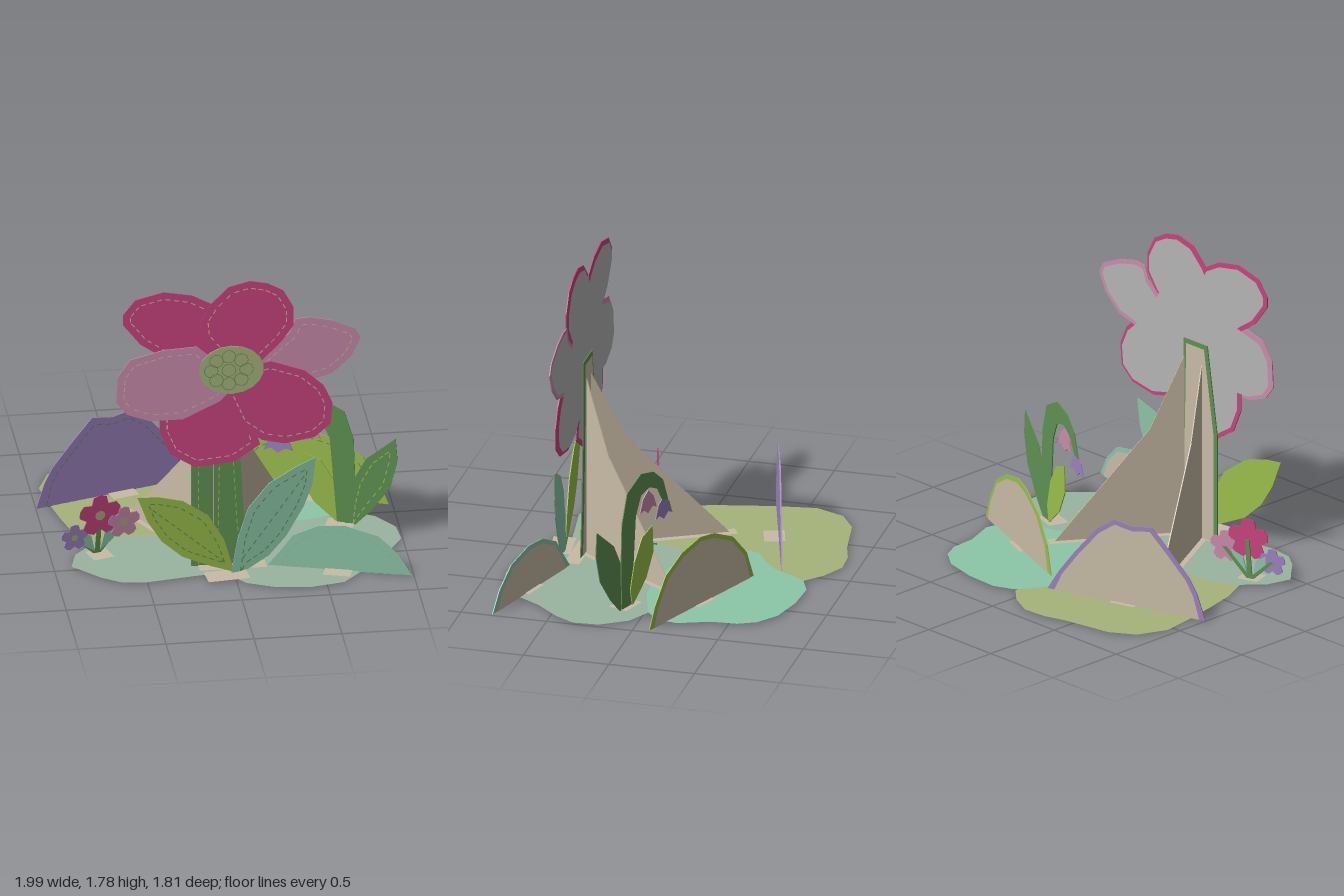
import * as THREE from 'three';
import { mergeGeometries } from 'three/addons/utils/BufferGeometryUtils.js';

const paint = (name, color) => {
  const m = new THREE.MeshStandardMaterial({ color, side: THREE.DoubleSide });
  m.name = name;
  return m;
};
const C = {
  magenta: paint('magenta', 0xc9447f), pink: paint('dustyPink', 0xca8cab),
  olive: paint('olive', 0xa6b47c), green: paint('stemGreen', 0x5f9152),
  lime: paint('lime', 0x9bbf4c), mint: paint('mint', 0x8cc6a8),
  sage: paint('sage', 0x9ab4a0), tan: paint('cardTan', 0xc9bca6),
  purple: paint('purple', 0x9c82be), grey: paint('cardGrey', 0xb4b4b4),
};

// Outlines are written in hundredths: x, y, x, y ...
const pts = (a) => {
  const p = [];
  for (let i = 0; i < a.length; i += 2) p.push(new THREE.Vector2(a[i] / 100, a[i + 1] / 100));
  return THREE.ShapeUtils.isClockWise(p) ? p.reverse() : p;
};

// Shrink an outline; points resting on the ground stay there
const inset = (p, d) => p.map((b, i) => {
  const a = p[(i + p.length - 1) % p.length], c = p[(i + 1) % p.length];
  const n1 = new THREE.Vector2(a.y - b.y, b.x - a.x).normalize();
  const n2 = new THREE.Vector2(b.y - c.y, c.x - b.x).normalize();
  const n = n1.clone().add(n2).normalize();
  const q = b.clone().addScaledVector(n, d / Math.max(0.5, n.dot(n1)));
  if (b.y < 0.01) q.y = b.y;
  return q;
});

const add = (group, name, geo, mat, z = 0) => {
  const m = new THREE.Mesh(geo, mat);
  m.name = name;
  m.position.z = z;
  group.add(m);
  return m;
};

// Dashed stitches following a path
const stitches = (path, closed = true) => {
  const q = closed ? [...path, path[0]] : path;
  const dashes = [];
  for (let i = 0; i + 1 < q.length; i++) {
    const len = q[i].distanceTo(q[i + 1]), n = Math.max(1, Math.round(len / 0.05));
    const angle = Math.atan2(q[i + 1].y - q[i].y, q[i + 1].x - q[i].x);
    for (let k = 0; k < n; k++) {
      const c = q[i].clone().lerp(q[i + 1], (k + 0.5) / n);
      dashes.push(new THREE.PlaneGeometry(0.028, 0.006).rotateZ(angle).translate(c.x, c.y, 0));
    }
  }
  return mergeGeometries(dashes);
};

const T = 0.006;
// One cut-out: coloured front, optional smaller card behind, optional stitches
const sheet = (group, name, outline, mat, { card, thread, z = 0, cardZ = z - 0.004 } = {}) => {
  const p = pts(outline);
  add(group, name, new THREE.ExtrudeGeometry(new THREE.Shape(p), { depth: T, bevelEnabled: false }), mat, z);
  if (card) add(group, name + 'Back', new THREE.ShapeGeometry(new THREE.Shape(inset(p, 0.025))), card, cardZ);
  if (thread) add(group, name + 'Stitches', stitches(inset(p, 0.042)), thread, z + T + 0.0012);
};

// Upright group on the ground line from (x0,z0) to (x1,z1); its local x equals world x
const stand = (root, name, x0, z0, x1, z1) => {
  const g = new THREE.Group(), m = (z1 - z0) / (x1 - x0);
  g.name = name;
  g.position.z = z0 - m * x0;
  g.rotation.y = -Math.atan(m);
  g.scale.x = Math.hypot(1, m);
  root.add(g);
  return g;
};

const tab = (group, x, z, w, d) => {
  const m = add(group, 'footTab', new THREE.PlaneGeometry(w, d).rotateX(-Math.PI / 2), C.tan);
  m.position.set(x, 0.007, z);
};

const leafVein = (g, x0, y0, x1, y1, mat) =>
  add(g, 'leafVein', stitches([new THREE.Vector2(x0, y0), new THREE.Vector2(x1, y1)], false), mat, T + 0.0012);

// Small blossom with five notched petals
const blossom = (g, name, x, y, r, mat, z) => {
  const p = [];
  for (let i = 0; i < 20; i++) {
    const a = (i / 20) * Math.PI * 2 + 0.3, k = [1, 0.96, 0.66, 0.96][i % 4] * r;
    p.push(100 * (x + k * Math.cos(a)), 100 * (y + k * Math.sin(a)));
  }
  sheet(g, name, p, mat, { z });
  add(g, name + 'Centre', new THREE.CircleGeometry(r * 0.24, 10).translate(x, y, 0), C.olive, z + T + 0.001);
};

export function createModel() {
  const root = new THREE.Group();
  root.name = 'paperGarden';

  // Flat ground patches, outlines as x, z
  const grounds = [
    ['oliveGround', C.olive, [-95, -55, -88, -72, -74, -81, -45, -86, -32, -90, -17, -91, -3, -84, 7, -75, 12, -50, 8, -25, 0, 5, -20, 18, -42, 25, -75, 22, -83, 5, -88, -15, -92, -35]],
    ['sageGround', C.sage, [-21, 12, -17, 2, -5, -8, 30, -10, 75, -2, 88, 5, 98, 20, 99, 35, 92, 47, 80, 60, 72, 73, 60, 86, 40, 90, 20, 87, 5, 80, -5, 66, -6, 50, -10, 36, -20, 22]],
    ['leftSageGround', C.sage, [-90, 47, -86, 32, -75, 20, -60, 13, -45, 12, -25, 17, -13, 30, -10, 45, -3, 65, -25, 68, -50, 72, -65, 70, -75, 63, -85, 52]],
    ['mintGround', C.mint, [2, -66, 8, -75, 20, -80, 40, -79, 60, -74, 72, -65, 77, -55, 78, -40, 85, -22, 83, -10, 74, -2, 50, 5, 30, 7, 10, 3, -10, -5, -22, -17, -27, -28, -24, -40, -12, -48, -4, -55]],
  ];
  grounds.forEach(([name, mat, o], i) => {
    const flipped = o.map((v, k) => (k % 2 ? -v : v));
    const geo = new THREE.ShapeGeometry(new THREE.Shape(pts(flipped))).rotateX(-Math.PI / 2);
    add(root, name, geo, mat).position.y = 0.001 + i * 0.0013;
  });

  // Hills
  const purple = stand(root, 'purpleHill', -0.97, -0.31, -0.05, -0.59);
  sheet(purple, 'hill', [-100, 0, -95, 15, -90, 24, -78, 38, -67, 50, -55, 48, -44, 50, -33, 42, -20, 26, -10, 12, -3, 0], C.purple, { card: C.tan, thread: C.green });
  tab(purple, -0.5, 0.03, 0.15, 0.12);
  const lime = stand(root, 'limeHill', 0.08, -0.46, 0.97, -0.1);
  sheet(lime, 'hill', [8, 0, 14, 17, 26, 31, 42, 39, 54, 41, 70, 37, 84, 28, 93, 13, 98, 0], C.lime, { card: C.tan, thread: C.green });
  tab(lime, 0.52, 0.03, 0.15, 0.12);
  const mint = stand(root, 'mintHill', 0.2, 0.58, 0.97, 0.81);
  sheet(mint, 'hill', [20, 0, 28, 11, 34, 20, 48, 27, 62, 28, 80, 23, 92, 12, 99, 0], C.mint, { card: C.tan, thread: C.sage });
  tab(mint, 0.59, 0.03, 0.15, 0.12);

  // Struts that prop the big flower from behind
  for (const [x0, z0, x1, z1] of [[-0.1, 0.55, -0.5, -0.2], [0.02, 0.53, 0.45, -0.12]]) {
    const g = stand(root, 'strut', x0, z0, x1, z1), o = [];
    for (const [t, y] of [[0, 0], [0, 108], [0.25, 65], [0.5, 42], [0.95, 1], [1, 0]]) o.push(100 * (x0 + t * (x1 - x0)), y);
    sheet(g, 'strutPanel', o, C.tan);
    tab(g, (x0 + x1) / 2, 0, Math.abs(x1 - x0), 0.075);
  }

  // Big flower
  const flower = new THREE.Group();
  flower.name = 'bigFlower';
  flower.position.z = 0.55;
  root.add(flower);
  sheet(flower, 'stem', [-23, 0, -23, 66, -15, 118, 4, 118, 5, 66, 7, 30, 10, 0], C.green, { card: C.tan, thread: C.lime, z: -0.006 });
  leafVein(flower, -0.08, 0.05, -0.07, 0.68, C.lime).position.z = 0.002;
  const petals = [
    ['rightPetal', C.pink, [0, 123, 17, 130, 33, 144, 36, 152, 44, 153, 57, 150, 70, 144, 73, 138, 68, 127, 57, 117, 39, 112, 28, 115]],
    ['lowerLeftPetal', C.magenta, [-7, 118, -38, 101, -41, 97, -41, 86, -35, 72, -21, 63, 1, 65, 16, 75, 10, 95, 2, 112]],
    ['upperLeftPetal', C.magenta, [-20, 120, -52, 142, -62, 155, -62, 161, -55, 170, -39, 174, -23, 171, -12, 165, -2, 150, 0, 123]],
    ['upperRightPetal', C.magenta, [-1, 123, -17, 144, -18, 155, -12, 165, -2, 175, 10, 178, 20, 176, 29, 171, 35, 160, 35, 149, 28, 139, 17, 128]],
    ['lowerRightPetal', C.magenta, [1, 123, 22, 127, 41, 120, 52, 110, 57, 99, 56, 86, 47, 78, 30, 75, 17, 78, 4, 88, -4, 107]],
    ['leftPetal', C.pink, [-2, 123, -20, 139, -39, 138, -58, 133, -65, 123, -66, 107, -60, 99, -47, 94, -28, 94, -7, 104, 1, 112]],
  ];
  petals.forEach(([name, mat, o], i) =>
    sheet(flower, name, o, mat, { card: C.grey, thread: C.tan, z: 0.003 + i * 0.0025, cardZ: 0.0015 }));
  add(flower, 'flowerBackCentre', new THREE.CircleGeometry(0.3, 20).translate(0, 1.22, 0), C.grey, 0.0015);

  // Flower centre with a ring of seeds
  const centre = add(flower, 'flowerCentre', new THREE.CylinderGeometry(1, 1, 0.006, 18).rotateX(Math.PI / 2), C.olive, 0.026);
  centre.position.set(-0.005, 1.235, 0.025);
  centre.scale.set(0.185, 0.15, 1);
  for (let i = 0; i < 9; i++) {
    const a = (i / 8) * Math.PI * 2, k = i < 8 ? 1 : 0;
    const ring = new THREE.RingGeometry(0.037, 0.041, 14);
    add(flower, 'seed', ring.translate(-0.02 + k * 0.1 * Math.cos(a), 1.235 + k * 0.085 * Math.sin(a), 0), C.green, 0.0295);
  }
  tab(flower, 0, 0.025, 0.38, 0.09);

  // Two large leaves at the front
  const limeLeaf = stand(root, 'limeLeaf', -0.54, 0.72, 0, 0.66);
  sheet(limeLeaf, 'leaf', [-56, 54, -44, 53, -30, 49, -15, 38, -6, 22, 0, 1, -13, 6, -30, 14, -42, 25, -50, 38], C.lime, { thread: C.green });
  leafVein(limeLeaf, -0.05, 0.07, -0.48, 0.46, C.green);
  tab(limeLeaf, -0.05, 0.03, 0.24, 0.13);
  const mintLeaf = stand(root, 'mintLeaf', 0, 0.66, 0.46, 0.6);
  sheet(mintLeaf, 'leaf', [-2, 0, 2, 22, 8, 40, 20, 54, 35, 62, 47, 67, 45, 50, 40, 37, 30, 20, 20, 9, 8, 2], C.mint, { thread: C.green });
  leafVein(mintLeaf, 0.04, 0.08, 0.41, 0.57, C.green);

  // Drooping bell plant
  const bells = stand(root, 'bellPlant', 0.26, -0.04, 0.97, 0.2);
  sheet(bells, 'archedStem', [66, 0, 64, 27, 62, 53, 57, 64, 49, 66, 41, 62, 36, 53, 31, 52, 36, 66, 45, 74, 57, 77, 70, 70, 75, 53, 76, 24, 75, 0], C.green);
  sheet(bells, 'rightLeaf', [70, 0, 72, 14, 75, 28, 82, 42, 98, 56, 99, 42, 95, 25, 85, 10, 76, 0], C.green, { z: 0.007, thread: C.lime });
  sheet(bells, 'limeLeaf', [66, 0, 53, 12, 46, 26, 47, 42, 57, 38, 64, 26, 68, 10], C.lime, { z: -0.007 });
  for (const [name, mat, x, y] of [['pinkBell', C.pink, 49, 64], ['purpleBell', C.purple, 34, 55]])
    sheet(bells, name, [0, 0, -5, -5, -8, -13, -4, -11, 0, -14, 4, -11, 8, -12, 5, -4].map((v, k) => v + (k % 2 ? y : x)), mat, { z: 0.007 });
  tab(bells, 0.68, 0.03, 0.15, 0.12);

  // Three small blossoms
  const posy = stand(root, 'posy', -0.93, 0.37, -0.51, 0.24);
  for (const [x, y] of [[-87, 13], [-72, 24], [-58, 17]])
    sheet(posy, 'smallStem', [-75, 0, x - 1, y, x + 1.5, y, -72, 0], C.green);
  sheet(posy, 'smallLeftLeaf', [-75, 2, -83, 8, -83, 16, -77, 12], C.mint, { z: 0.003 });
  sheet(posy, 'smallRightLeaf', [-72, 2, -69, 13, -62, 16, -64, 8], C.mint, { z: 0.003 });
  blossom(posy, 'purpleBlossom', -0.87, 0.13, 0.08, C.purple, 0.004);
  blossom(posy, 'magentaBlossom', -0.72, 0.24, 0.125, C.magenta, 0.007);
  blossom(posy, 'pinkBlossom', -0.58, 0.17, 0.095, C.pink, 0.01);
  tab(posy, -0.73, 0.03, 0.12, 0.12);

  return root;
}
